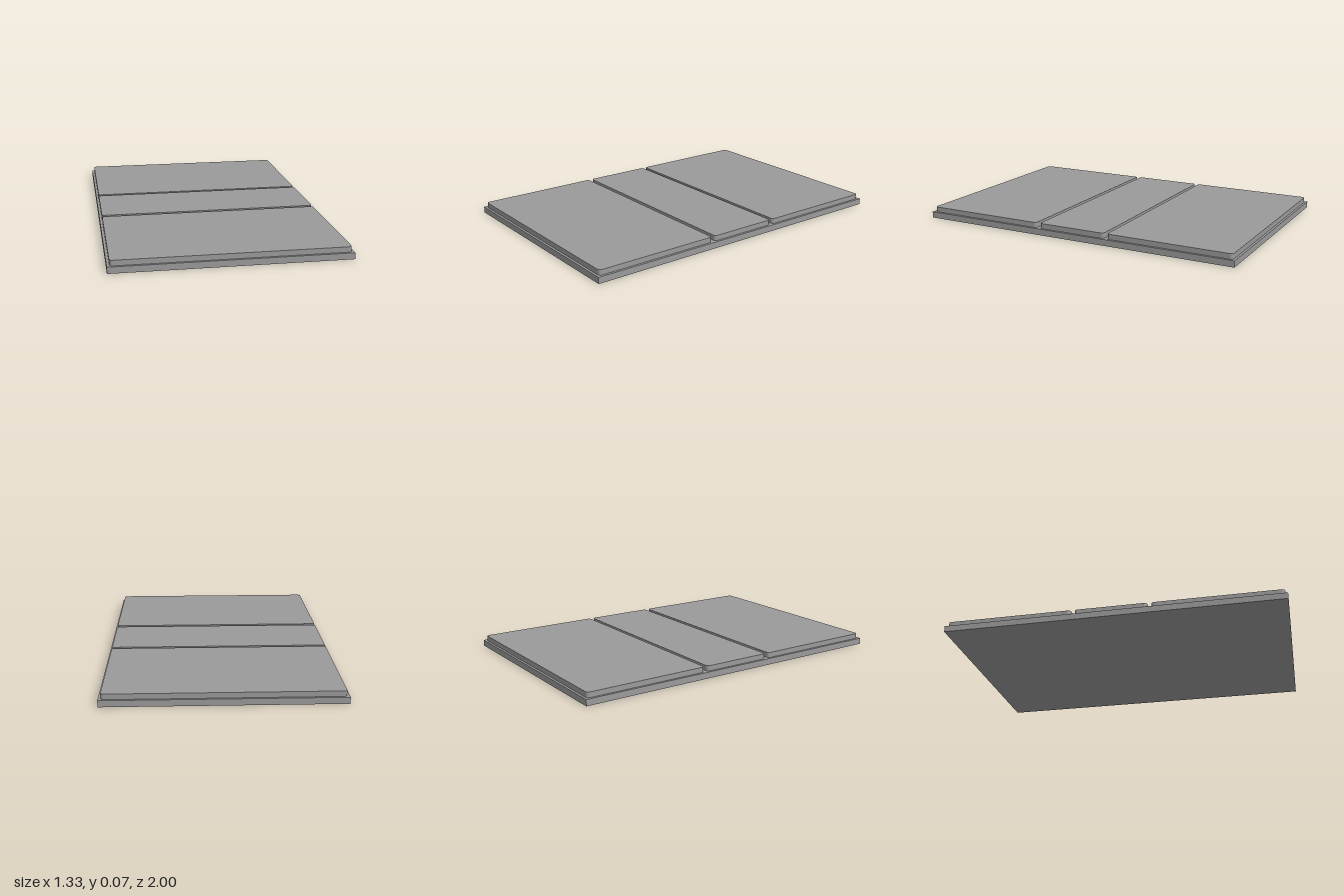
import * as THREE from 'three';

const BASE_H = 0.037;
const TOP = 0.068;

// Flat slab with rounded vertical corners, spanning z0..z1
function roundedSlab(halfW, z0, z1, y0, y1, r) {
  const h = (z1 - z0) / 2;
  const s = new THREE.Shape();
  s.moveTo(-halfW + r, -h);
  s.lineTo(halfW - r, -h);
  s.absarc(halfW - r, -h + r, r, -Math.PI / 2, 0);
  s.lineTo(halfW, h - r);
  s.absarc(halfW - r, h - r, r, 0, Math.PI / 2);
  s.lineTo(-halfW + r, h);
  s.absarc(-halfW + r, h - r, r, Math.PI / 2, Math.PI);
  s.lineTo(-halfW, -h + r);
  s.absarc(-halfW + r, -h + r, r, Math.PI, Math.PI * 1.5);
  const geo = new THREE.ExtrudeGeometry(s, { depth: y1 - y0, bevelEnabled: false, curveSegments: 6 });
  geo.rotateX(-Math.PI / 2);
  geo.translate(0, y0, (z0 + z1) / 2);
  return geo;
}

export function createModel() {
  const group = new THREE.Group();
  const material = new THREE.MeshStandardMaterial({ color: 0x9a9a9a });
  const add = (name, geo) => {
    const mesh = new THREE.Mesh(geo, material);
    mesh.name = name;
    group.add(mesh);
  };

  // Sharp-edged base board
  add('baseBoard', new THREE.BoxGeometry(1.334, BASE_H, 2).translate(0, BASE_H / 2, 0));

  // Three raised panels separated by narrow grooves
  const panels = [
    ['frontPanel', 0.236, 0.986],
    ['middlePanel', -0.214, 0.211],
    ['backPanel', -0.986, -0.236],
  ];
  for (const [name, z0, z1] of panels) {
    add(name, roundedSlab(0.653, z0, z1, BASE_H, TOP, 0.018));
  }
  return group;
}
